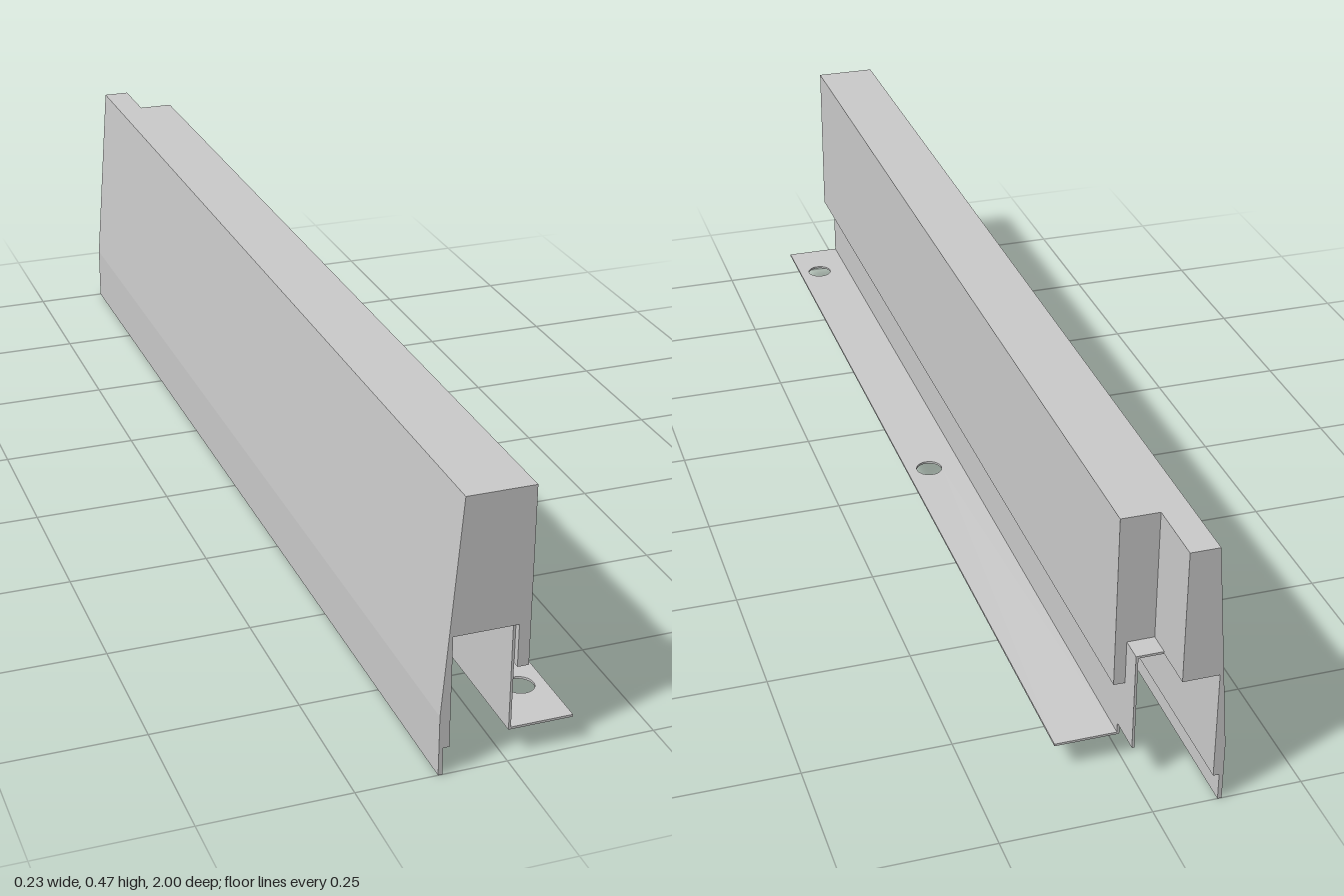
import * as THREE from 'three';

const material = new THREE.MeshStandardMaterial({ color: 0xcccccc, flatShading: true });

const shapeOf = (points) => new THREE.Shape(points.map(([x, y]) => new THREE.Vector2(x, y)));

const extrude = (shape, depth) =>
  new THREE.ExtrudeGeometry(shape, { depth, bevelEnabled: false, curveSegments: 16 });

function addPart(group, name, geometry) {
  const mesh = new THREE.Mesh(geometry, material);
  mesh.name = name;
  group.add(mesh);
}

export function createModel() {
  const model = new THREE.Group();
  model.name = 'trimRail';

  const notchZ = -0.885; // where the rear cut-out begins
  const sheet = 0.004;   // bracket sheet thickness
  const plateX = 0.005;
  const roofY = 0.241;

  // Outer skin with its lower lip, shared by both body sections
  const skin = [
    [-0.086, 0.473], [-0.115, 0.105], [-0.115, 0], [-0.108, 0],
    [-0.108, 0.048], [-0.098, 0.048], [-0.098, roofY],
  ];

  // Main body: solid head over an open channel
  const main = shapeOf([
    ...skin, [plateX + sheet, roofY], [plateX + sheet, 0.167], [0.028, 0.167], [0.028, 0.473],
  ]);
  addPart(model, 'mainBody', extrude(main, 1 - notchZ).translate(0, 0, notchZ));

  // Narrower rear end beside the cut-out
  const rear = shapeOf([...skin, [-0.037, roofY], [-0.037, 0.473]]);
  addPart(model, 'rearBody', extrude(rear, notchZ + 1).translate(0, 0, -1));

  // Upright bracket plate, drawn with -z to the right, stepped at its rear foot
  const plate = shapeOf([
    [-0.988, 0.048], [0.86, 0.048], [0.86, 0.07], [0.925, 0.07],
    [0.925, roofY + sheet], [-0.988, roofY + sheet],
  ]);
  addPart(model, 'bracketPlate', extrude(plate, sheet).rotateY(Math.PI / 2).translate(plateX, 0, 0));

  // Bracket top tab showing in the cut-out
  addPart(model, 'bracketTopTab',
    new THREE.BoxGeometry(0.042, sheet, 0.04).translate(-0.016, roofY + sheet / 2, notchZ - 0.02));

  // Mounting flange with two screw holes, drawn with -z upward
  const flange = shapeOf([[0.009, -0.988], [0.114, -0.988], [0.114, 0.86], [0.009, 0.86]]);
  for (const z of [0, 0.885]) {
    flange.holes.push(new THREE.Path().absarc(0.071, -z, 0.024, 0, Math.PI * 2, true));
  }
  addPart(model, 'mountingFlange', extrude(flange, sheet).rotateX(-Math.PI / 2).translate(0, 0.048, 0));

  return model;
}
